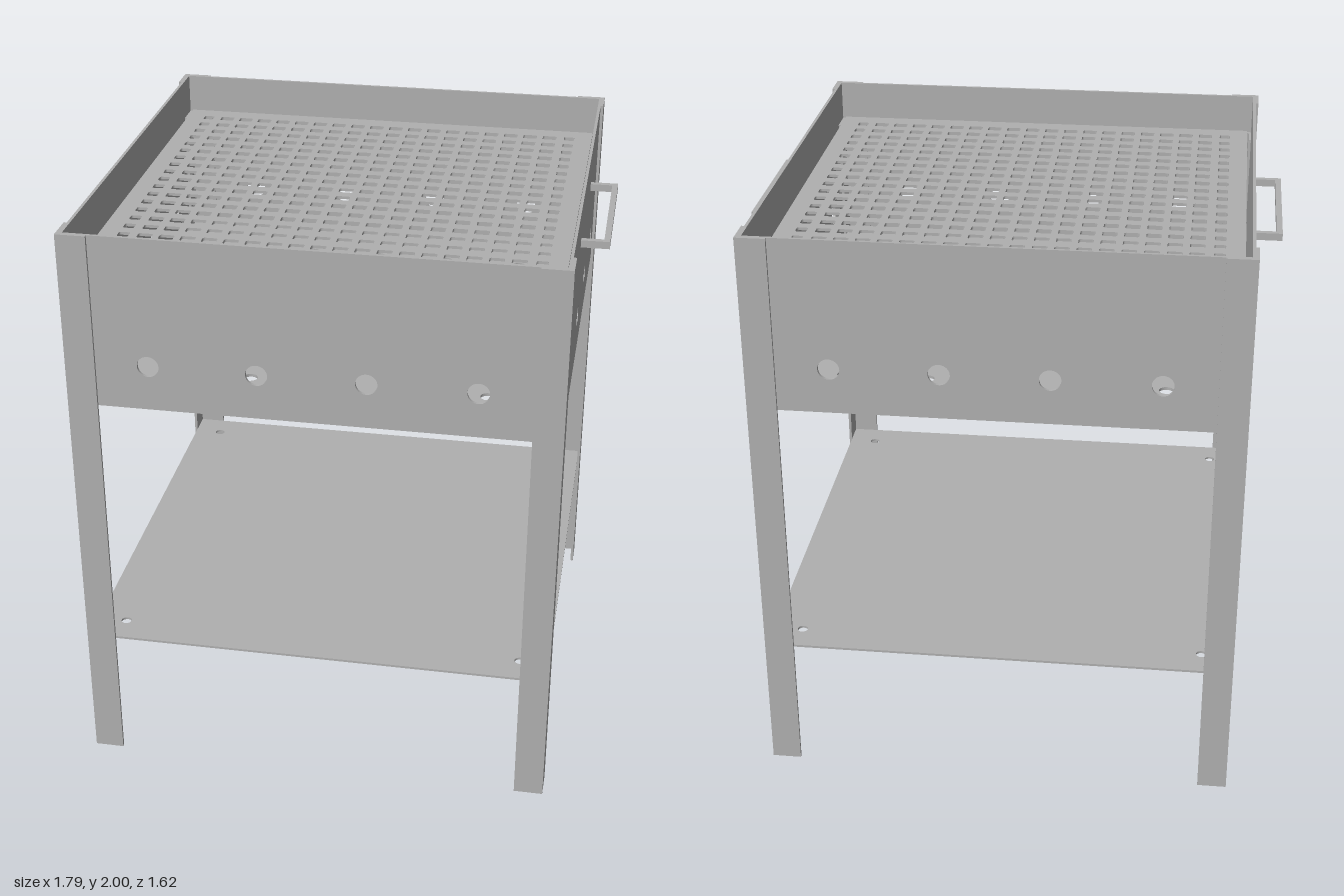
import * as THREE from 'three';

const T = 0.01; // sheet thickness

export function createModel() {
  const model = new THREE.Group();
  model.name = 'charcoalGrill';
  const steel = new THREE.MeshStandardMaterial({ color: 0xb0b0b0 });
  steel.name = 'steel grey';

  const add = (name, geometry, parent = model) => {
    const mesh = new THREE.Mesh(geometry, steel);
    mesh.name = name;
    parent.add(mesh);
    return mesh;
  };
  const rect = (x0, y0, x1, y1) => new THREE.Shape([
    new THREE.Vector2(x0, y0), new THREE.Vector2(x1, y0),
    new THREE.Vector2(x1, y1), new THREE.Vector2(x0, y1)]);
  const roundHole = (x, y, r) => new THREE.Path().absarc(x, y, r, 0, Math.PI * 2, true);
  const extrude = (shape, depth, curveSegments = 12) =>
    new THREE.ExtrudeGeometry(shape, { depth, bevelEnabled: false, curveSegments });
  // Horizontal sheet whose underside lies at height y
  const sheet = (shape, y, depth, segments) =>
    extrude(shape, depth, segments).rotateX(-Math.PI / 2).translate(0, y, 0);

  // Fire box walls, each with four air holes
  for (let i = 0; i < 4; i++) {
    const half = i % 2 ? 0.79 : 0.8;
    const shape = rect(-half, 1.4, half, 2);
    for (const x of [-0.535, -0.178, 0.178, 0.535]) shape.holes.push(roundHole(x, 1.555, 0.036));
    const wall = extrude(shape, T, 24).translate(0, 0, 0.79);
    add(['frontWall', 'leftWall', 'backWall', 'rightWall'][i], wall.rotateY(i * Math.PI / 2));
  }

  // Perforated floor of the fire box
  const floor = rect(-0.79, -0.79, 0.79, 0.79);
  const spots = [-0.54, -0.26, 0, 0.26, 0.54];
  for (const x of spots) for (const z of spots) floor.holes.push(roundHole(x, z, 0.025));
  add('fireBoxFloor', sheet(floor, 1.4, T, 16));

  // Cooking grate with rows of rounded slots
  const slot = (x, y, w, h, r = 0.007) => {
    const p = new THREE.Path();
    const a = w / 2 - r, b = h / 2 - r;
    p.absarc(x + a, y + b, r, 0, Math.PI / 2);
    p.absarc(x - a, y + b, r, Math.PI / 2, Math.PI);
    p.absarc(x - a, y - b, r, Math.PI, Math.PI * 1.5);
    p.absarc(x + a, y - b, r, Math.PI * 1.5, Math.PI * 2);
    p.closePath();
    return p;
  };
  const grate = rect(-0.775, -0.775, 0.775, 0.775);
  for (let i = 0; i < 20; i++) {
    const edge = i === 0 || i === 19;
    for (let j = 0; j < 20; j++) {
      grate.holes.push(slot((i - 9.5) * 0.0728, (j - 9.5) * 0.073, edge ? 0.038 : 0.05, 0.036));
    }
  }
  add('grate', sheet(grate, 1.86, T, 2));

  // Lower shelf with a small hole near each corner
  const shelf = rect(-0.8, -0.8, 0.8, 0.8);
  for (const x of [-0.7, 0.7]) for (const z of [-0.7, 0.7]) shelf.holes.push(roundHole(x, z, 0.018));
  add('lowerShelf', sheet(shelf, 0.472, 0.008, 16));

  // L-section drawn at the corner (c, c), arms pointing inward
  const angle = (c, arm) => new THREE.Shape([
    [c, c], [c - arm, c], [c - arm, c - T], [c - T, c - T], [c - T, c - arm], [c, c - arm],
  ].map(([x, y]) => new THREE.Vector2(x, y)));

  // Angle-iron legs, and the inner brackets carrying the grate
  for (let i = 0; i < 4; i++) {
    const corner = new THREE.Group();
    corner.name = 'corner' + (i + 1);
    corner.rotation.y = i * Math.PI / 2;
    model.add(corner);
    add('leg', sheet(angle(0.81, 0.1), 0, 2), corner);
    add('grateBracket', sheet(angle(0.79, 0.09), 1.41, 0.45), corner);
  }

  // Square-bar side handles
  for (const s of [1, -1]) {
    const handle = new THREE.Group();
    handle.name = s > 0 ? 'leftHandle' : 'rightHandle';
    model.add(handle);
    add('grip', new THREE.BoxGeometry(0.02, 0.025, 0.53).translate(s * 0.885, 1.858, 0), handle);
    for (const z of [-0.255, 0.255]) {
      add('handleArm', new THREE.BoxGeometry(0.075, 0.025, 0.02).translate(s * 0.8375, 1.858, z), handle);
    }
  }
  return model;
}
